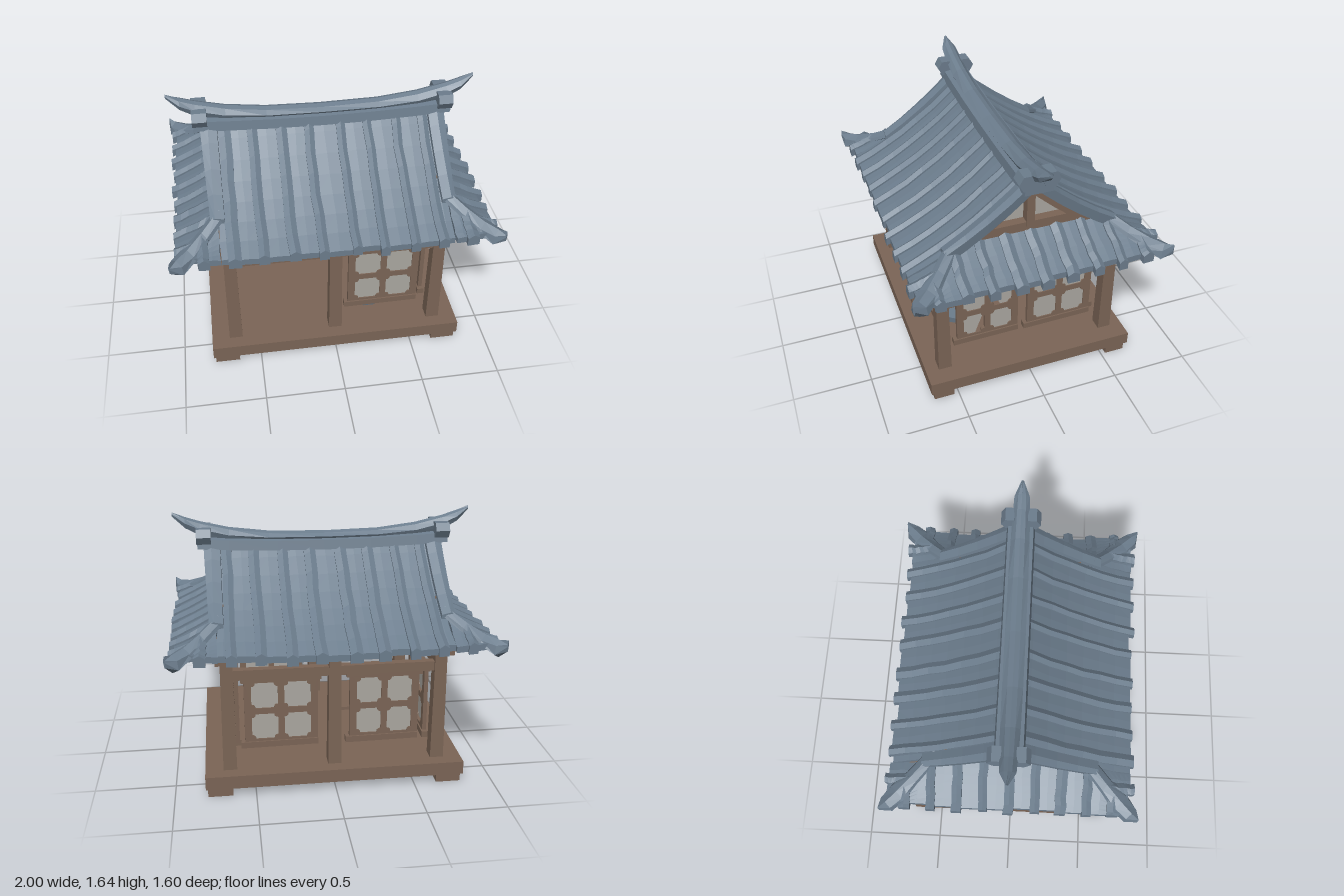
import * as THREE from 'three';

const mat = (name, color, extra = {}) => {
  const m = new THREE.MeshStandardMaterial({ color, flatShading: true, ...extra });
  m.name = name;
  return m;
};
const wood = mat('brown wood', 0x7b6556);
const tile = mat('slate blue tile', 0x6c7d8d);
const paper = mat('grey paper', 0xaba8a1, { side: THREE.DoubleSide });

let seed = 7;
const jitter = (a) => {
  seed = (seed * 16807) % 2147483647;
  return (seed / 2147483647 - 0.5) * 2 * a;
};
const lerp = THREE.MathUtils.lerp;

function add(parent, name, geo, material, x = 0, y = 0, z = 0) {
  const m = new THREE.Mesh(geo, material);
  m.name = name;
  m.position.set(x, y, z);
  parent.add(m);
  return m;
}
// box given by its limits
function box(parent, name, material, x0, x1, y0, y1, z0, z1) {
  return add(parent, name, new THREE.BoxGeometry(x1 - x0, y1 - y0, z1 - z0), material,
    (x0 + x1) / 2, (y0 + y1) / 2, (z0 + z1) / 2);
}
// closed solid through rings of [x, y, z]; turned outward by its signed volume
function loft(rings) {
  const n = rings[0].length, tris = [];
  for (let i = 0; i < rings.length - 1; i++) for (let j = 0; j < n; j++) {
    const k = (j + 1) % n, a = rings[i], b = rings[i + 1];
    tris.push([a[j], a[k], b[k]], [a[j], b[k], b[j]]);
  }
  const first = rings[0], last = rings[rings.length - 1];
  for (let j = 1; j < n - 1; j++) {
    tris.push([first[0], first[j + 1], first[j]], [last[0], last[j], last[j + 1]]);
  }
  const o = new THREE.Vector3(...first[0]);
  const v = (p) => new THREE.Vector3(...p).sub(o);
  const volume = tris.reduce((s, [a, b, c]) => s + v(a).dot(v(b).cross(v(c))), 0);
  const pos = tris.flatMap(([a, b, c]) => (volume < 0 ? [a, c, b] : [a, b, c])).flat();
  const g = new THREE.BufferGeometry();
  g.setAttribute('position', new THREE.Float32BufferAttribute(pos, 3));
  g.computeVertexNormals();
  return g;
}

// roof height at a distance from the ridge
const slope = (d) => 1.47 - 0.95 * d + 0.34 * d * d;

// one course of tiles running down the slope, between u0 and u1 across it
function tileCourse(parent, u0, u1, start, end, lift, drop, batten) {
  const rings = [], steps = 7, shift = jitter(0.012);
  for (let i = 0; i <= steps; i++) {
    const t = i / steps, w = i === 0 ? 0 : jitter(0.005);
    const pt = (u, dy) => {
      const s = Math.min(start(u), end - 0.02);
      const z = lerp(s, end + shift, t);
      return [u + w, slope(z - drop) + dy + 0.04 * Math.abs(u) ** 3 * t * t, z];
    };
    const um = (u0 + u1) / 2, th = batten && i > steps - 2 ? 0.06 : 0.045;
    rings.push([pt(u0, lift - th), pt(u1, lift - th), pt(u1, lift - 0.008), pt(um, lift + (batten ? 0.012 : -0.004)), pt(u0, lift - 0.008)]);
  }
  add(parent, batten ? 'roundTile' : 'panTile', loft(rings), tile);
}
function tiledSlope(name, centres, outer, top, inner, limit, end, drop) {
  const g = new THREE.Group();
  g.name = name;
  // inner courses reach the top, outer ones begin at the hip
  const startFor = (c) => (u) => Math.abs(c) < limit ? top : Math.max(top, Math.abs(u) + inner);
  const edges = [...new Set([...centres, ...outer].flatMap((c) => [c, -c]))].sort((a, b) => a - b);
  for (let i = 0; i < edges.length - 1; i++) {
    const c = (edges[i] + edges[i + 1]) / 2;
    tileCourse(g, edges[i] + 0.003, edges[i + 1] - 0.003, startFor(c), end, 0, drop, false);
  }
  for (const c of new Set(centres.flatMap((c) => [c, -c]))) {
    const h = 0.033 + jitter(0.006);
    tileCourse(g, c - h, c + h, startFor(c), end + 0.025, 0.014, drop, true);
  }
  return g;
}

// square-cornered opening with bulging sides
function opening(Type, cx, cy, w, h) {
  const p = new Type(), c = 0.025;
  p.moveTo(cx - w + c, cy - h);
  p.lineTo(cx + w - c, cy - h); p.quadraticCurveTo(cx + w - c, cy - h + c, cx + w, cy - h + c);
  p.lineTo(cx + w, cy + h - c); p.quadraticCurveTo(cx + w - c, cy + h - c, cx + w - c, cy + h);
  p.lineTo(cx - w + c, cy + h); p.quadraticCurveTo(cx - w + c, cy + h - c, cx - w, cy + h - c);
  p.lineTo(cx - w, cy - h + c); p.quadraticCurveTo(cx - w + c, cy - h + c, cx - w + c, cy - h);
  return p;
}
// paper window with a 2 x 2 lattice; torn panes keep only a corner
function windowPanel(name, w, h, x, y, z, turn, torn = []) {
  const g = new THREE.Group();
  g.name = name;
  const a = w / 2, b = h / 2, hw = (w - 0.13) / 4, hh = (h - 0.12) / 4;
  const frame = new THREE.Shape([[-a, -b], [a, -b], [a, b], [-a, b]].map((p) => new THREE.Vector2(...p)));
  [[-1, 1], [1, 1], [-1, -1], [1, -1]].forEach(([sx, sy], i) => {
    const cx = sx * (hw + 0.02), cy = sy * (hh + 0.02);
    frame.holes.push(opening(THREE.Path, cx, cy, hw, hh));
    const pane = torn.includes(i)
      ? new THREE.Shape([[-hw, -hh], [hw * 0.1, -hh], [hw * 0.9, hh], [-hw, hh]]
        .map(([px, py]) => new THREE.Vector2(cx + (i % 2 ? -px : px), cy + py)))
      : opening(THREE.Shape, cx, cy, hw, hh);
    add(g, 'paperPane', new THREE.ShapeGeometry(pane, 3), paper, 0, 0, 0.006);
  });
  add(g, 'lattice', new THREE.ExtrudeGeometry(frame, { depth: 0.026, bevelEnabled: false, curveSegments: 3 }), wood, 0, 0, -0.013);
  box(g, 'topRail', wood, -a - 0.02, a + 0.02, b - 0.03, b + 0.005, -0.02, 0.02);
  box(g, 'bottomRail', wood, -a - 0.025, a, -b - 0.015, -b + 0.025, -0.022, 0.022).rotation.z = 0.01;
  g.position.set(x, y, z);
  g.rotation.y = turn;
  return g;
}

export function createModel() {
  seed = 7;
  const model = new THREE.Group();
  model.name = 'pavilion';

  // platform, feet and posts
  box(model, 'floor', wood, -0.81, 0.81, 0.06, 0.145, -0.68, 0.68);
  for (const sx of [-1, 1]) for (const sz of [-1, 1]) {
    add(model, 'foot', new THREE.BoxGeometry(0.155, 0.065, 0.13), wood, sx * 0.72, 0.0325, sz * 0.595);
  }
  for (const x of [-0.655, 0, 0.655]) for (const z of [-0.555, 0.555]) {
    const post = new THREE.CylinderGeometry(0.052, 0.06, 0.79, 4).rotateY(Math.PI / 4);
    add(model, 'post', post, wood, x, 0.54, z);
  }

  // tie beams and eave beams
  for (const s of [-1, 1]) {
    add(model, 'tieBeam', new THREE.BoxGeometry(1.25, 0.06, 0.05), wood, 0, 0.77, s * 0.555);
    add(model, 'sideTieBeam', new THREE.BoxGeometry(0.05, 0.06, 1.06), wood, s * 0.655, 0.77, 0);
    add(model, 'eaveBeam', new THREE.BoxGeometry(1.58, 0.065, 0.08), wood, 0, 0.905, s * 0.575);
    add(model, 'sideEaveBeam', new THREE.BoxGeometry(0.08, 0.075, 1.3), wood, s * 0.68, 0.9, 0);
    for (const x of [-0.655, 0, 0.655]) {
      add(model, 'bracket', new THREE.BoxGeometry(0.11, 0.05, 0.13), wood, x, 0.895, s * 0.575);
    }
  }

  // paper windows; the front corner on one side stays open
  model.add(
    windowPanel('frontWindow', 0.46, 0.46, 0.325, 0.49, 0.5, 0),
    windowPanel('backWindow', 0.46, 0.46, 0.325, 0.49, -0.49, Math.PI),
    windowPanel('backWindow', 0.44, 0.46, -0.325, 0.49, -0.49, Math.PI),
    windowPanel('sideWindow', 0.41, 0.43, 0.6, 0.475, 0.24, Math.PI / 2, [1, 2]),
    windowPanel('sideWindow', 0.44, 0.47, 0.6, 0.49, -0.25, Math.PI / 2),
    windowPanel('sideWindow', 0.44, 0.47, -0.6, 0.49, -0.25, -Math.PI / 2));

  // blue screen and lattice on the inside of a back window
  for (const [x0, x1] of [[-0.51, -0.34], [-0.31, -0.13]]) {
    box(model, 'blueScreen', tile, x0, x1, 0.31, 0.68, -0.474, -0.467);
  }
  for (const x of [-0.51, -0.39, -0.34, -0.28, -0.18]) box(model, 'screenBar', wood, x - 0.01, x + 0.01, 0.32, 0.64, -0.466, -0.446);
  for (const y of [0.33, 0.46, 0.62]) box(model, 'screenRail', wood, -0.52, y === 0.46 ? -0.06 : -0.17, y - 0.01, y + 0.01, -0.466, -0.446);

  // low blue stand with thin rods
  const stand = new THREE.CylinderGeometry(0.5, 0.46, 0.05, 8).rotateY(Math.PI / 8);
  add(model, 'lowStand', stand, tile, 0.255, 0.178, 0.295).scale.set(0.22, 1, 0.34);
  box(model, 'standRail', wood, 0.22, 0.24, 0.2, 0.218, 0.16, 0.43);
  for (const z of [0.2, 0.25, 0.3]) {
    add(model, 'standRod', new THREE.CylinderGeometry(0.007, 0.007, 0.25, 5), wood, 0.25, 0.33, z).rotation.z = -0.25;
  }

  // four tiled slopes
  for (const turn of [0, Math.PI]) {
    const main = tiledSlope('mainRoof', [0.1, 0.27, 0.45, 0.62, 0.8], [0.7, 0.94], 0, -0.2, 0.69, 0.745, 0);
    main.rotation.y = turn;
    const side = tiledSlope('sideRoof', [0, 0.16, 0.32, 0.48, 0.64], [0.74], 0.64, 0.2, 0.46, 0.955, 0.2);
    side.rotation.y = turn + Math.PI / 2;
    model.add(main, side);
  }

  for (const sx of [-1, 1]) {
    for (const sz of [-1, 1]) {
      // descending ridge along the gable edge
      add(model, 'gableRidge', loft([0.03, 0.15, 0.28, 0.41, 0.54].map((z) => {
        const y = slope(z), out = 0.765 - 0.04 * z;
        return [[0.655, y - 0.045], [out - 0.01, y - 0.05], [out, y + 0.025], [0.715, y + 0.042], [0.66, y + 0.03]]
          .map(([x, h]) => [sx * x, h, sz * z]);
      })), tile);
      // hip ridge with a flared tip: x, half width, top, bottom
      add(model, 'hipRidge', loft([[0.69, 0.045, 1.125, 1.05], [0.8, 0.05, 1.05, 0.97], [0.89, 0.065, 1.005, 0.925], [0.955, 0.055, 0.99, 0.88], [0.995, 0.008, 1.0, 0.93]]
        .map(([x, w, top, low]) => [[-w, low + 0.03], [0, low], [w, low + 0.03], [w * 0.8, top - 0.025], [0, top], [-w * 0.8, top - 0.025]]
          .map(([o, y]) => [sx * (x + o * 0.7), y, sz * (x - 0.2 - o * 0.7)]))), tile);
      // gable board below the tiles
      add(model, 'gableBoard', loft([0, 0.15, 0.3, 0.44].map((z) => {
        const y = slope(z) - 0.03;
        return [[0.61, y - 0.085], [0.69, y - 0.085], [0.69, y], [0.61, y]].map(([x, h]) => [sx * x, h, sz * z]);
      })), wood);
      // knob on the ridge end
      add(model, 'ridgeKnob', new THREE.CylinderGeometry(0.055, 0.055, 0.09, 6), tile, sx * 0.76, 1.505, sz * 0.07).rotation.z = Math.PI / 2;
    }
    // gable filling
    const gable = new THREE.Shape([[-0.42, 1.1], [0.42, 1.1], [0, 1.42]].map((p) => new THREE.Vector2(...p)));
    add(model, 'gablePaper', new THREE.ShapeGeometry(gable), paper, sx * 0.63).rotation.y = Math.PI / 2;
    add(model, 'gablePost', new THREE.BoxGeometry(0.06, 0.34, 0.05), wood, sx * 0.66, 1.25, 0);
    add(model, 'gableSill', new THREE.BoxGeometry(0.07, 0.06, 0.8), wood, sx * 0.65, 1.125, 0);
  }

  // curved main ridge in two layers
  const xs = [-0.95, -0.87, -0.78, -0.6, -0.35, 0, 0.35, 0.6, 0.78, 0.87, 0.95];
  add(model, 'ridgeCap', loft(xs.map((x) => {
    const k = Math.abs(x) / 0.95, top = 1.505 + 0.14 * k ** 2.8, low = 1.45 + 0.17 * k ** 6;
    const w = k > 0.99 ? 0.008 : 0.062 - 0.02 * k ** 4, mid = (top + low) / 2;
    return [[low, -w * 0.7], [mid, -w], [top - 0.01, -w * 0.5], [top, 0], [top - 0.01, w * 0.5], [mid, w], [low, w * 0.7]]
      .map(([y, z]) => [x, y, z]);
  })), tile);
  add(model, 'ridgeBase', loft([-0.8, -0.6, -0.3, 0, 0.3, 0.6, 0.8].map((x) => {
    const y = 1.43 + 0.04 * x * x;
    return [[y - 0.03, -0.09], [y + 0.03, -0.08], [y + 0.045, 0], [y + 0.03, 0.08], [y - 0.03, 0.09]].map(([h, z]) => [x, h, z]);
  })), tile);
  return model;
}
